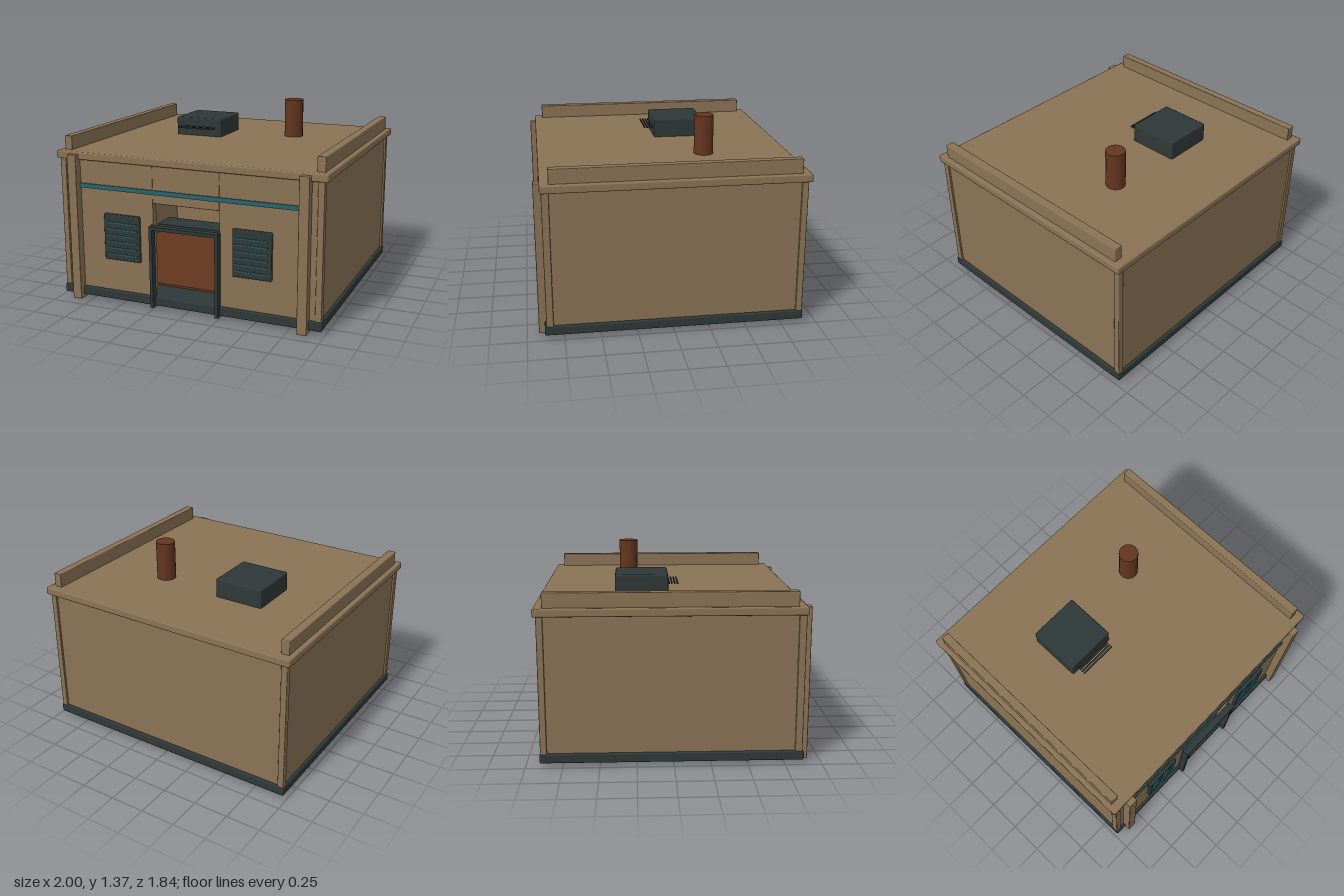
import * as THREE from 'three';
import { RoundedBoxGeometry } from 'three/addons/geometries/RoundedBoxGeometry.js';

const paint = (name, color) => {
  const m = new THREE.MeshStandardMaterial({ color });
  m.name = name;
  return m;
};

export function createModel() {
  const model = new THREE.Group();
  model.name = 'outpostBuilding';
  const clay = paint('clay brown', 0x8b7355);
  const dark = paint('dark metal', 0x2f3838);
  const rust = paint('rust', 0x63361f);
  const teal = paint('teal', 0x2a646c);

  // Box given by its extents on each axis, with an optional small bevel
  const box = (name, mat, [x0, x1], [y0, y1], [z0, z1], bevel = 0) => {
    const size = [x1 - x0, y1 - y0, z1 - z0];
    const geo = bevel ? new RoundedBoxGeometry(...size, 1, bevel) : new THREE.BoxGeometry(...size);
    const mesh = new THREE.Mesh(geo, mat);
    mesh.name = name;
    mesh.position.set((x0 + x1) / 2, (y0 + y1) / 2, (z0 + z1) / 2);
    model.add(mesh);
    return mesh;
  };
  // The same box on the left and the right
  const pair = (name, mat, [x0, x1], y, z, bevel) => {
    box(name + 'Left', mat, [x0, x1], y, z, bevel);
    box(name + 'Right', mat, [-x1, -x0], y, z, bevel);
  };

  // Base, interior floor and roof slab
  box('base', dark, [-0.98, 0.98], [0.025, 0.09], [-0.905, 0.88], 0.01);
  box('interiorFloor', rust, [-0.91, 0.91], [0.085, 0.105], [-0.84, 0.65]);
  box('roof', clay, [-1, 1], [1.03, 1.085], [-0.92, 0.88], 0.01);

  // Walls around the hollow room, with an opening at the front
  const wallY = [0.07, 1.045];
  pair('sideWall', clay, [0.91, 0.96], wallY, [-0.88, 0.85]);
  box('backWall', clay, [-0.95, 0.95], wallY, [-0.885, -0.835]);
  pair('frontWall', clay, [0.25, 0.94], wallY, [0.81, 0.86]);
  box('doorHeader', clay, [-0.25, 0.25], [0.765, 1.035], [0.81, 0.863], 0.006);

  // Corner trims, front pilasters and roof parapets
  pair('rearCornerTrim', clay, [0.93, 0.975], wallY, [-0.9, -0.855], 0.006);
  pair('frontCornerTrim', clay, [0.93, 0.975], wallY, [0.82, 0.87], 0.006);
  pair('pilaster', clay, [0.82, 0.89], [0, 1.07], [0.835, 0.92], 0.006);
  pair('parapet', clay, [0.905, 0.965], [1.07, 1.185], [-0.86, 0.82], 0.006);

  // Door frame and the inner slab behind it
  pair('doorPost', dark, [0.235, 0.258], [0.02, 0.61], [0.865, 0.915]);
  box('doorLintel', dark, [-0.258, 0.258], [0.59, 0.615], [0.865, 0.915]);
  box('innerLintel', dark, [-0.235, 0.235], [0.59, 0.613], [0.64, 0.82]);

  // Painted band across the front
  box('frontBand', teal, [-0.82, 0.82], [0.83, 0.862], [0.865, 0.874]);

  // Shuttered windows
  pair('window', dark, [0.35, 0.63], [0.325, 0.66], [0.85, 0.883], 0.008);
  for (let i = 0; i < 6; i++) {
    const y = 0.37 + i * 0.046;
    pair('windowSlat' + i, teal, [0.365, 0.605], [y - 0.004, y + 0.004], [0.88, 0.89]);
  }

  // Rooftop cooling unit with a grille of thin bars
  box('coolingUnit', dark, [-0.49, -0.12], [1.075, 1.222], [-0.395, -0.02], 0.012);
  for (let i = 0; i < 4; i++) {
    const z = -0.013 + i * 0.02;
    box('coolingGrille' + i, dark, [-0.445, -0.165], [1.148, 1.158], [z - 0.005, z + 0.005]);
  }

  // Chimney
  const chimney = new THREE.Mesh(new THREE.CylinderGeometry(0.07, 0.07, 0.3, 16), rust);
  chimney.name = 'chimney';
  chimney.position.set(0.373, 1.217, -0.303);
  model.add(chimney);

  return model;
}
